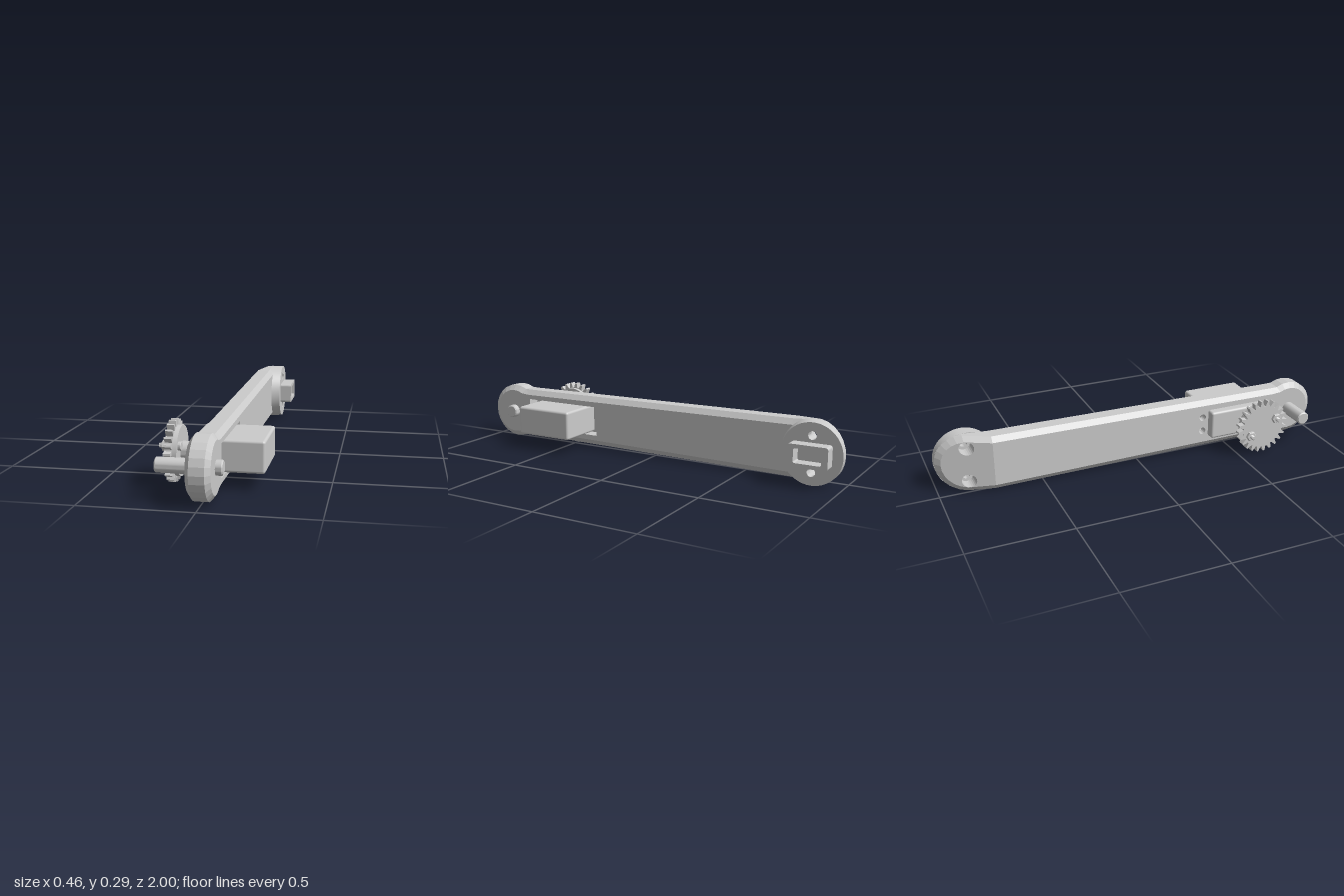
import * as THREE from 'three';
import { RoundedBoxGeometry } from 'three/addons/geometries/RoundedBoxGeometry.js';
import { toCreasedNormals } from 'three/addons/utils/BufferGeometryUtils.js';

const CY = 0.145;      // centre line height
const HEAD_Z = -0.855; // centre of the rear head
const BEND_Z = -0.74;  // where the arm's outer face starts to slope
const solid = new THREE.MeshStandardMaterial({ color: 0xcccccc });
const open = new THREE.MeshStandardMaterial({ color: 0xcccccc, side: THREE.DoubleSide });

const slope = z => Math.max(0, (BEND_Z - z) * 0.36);

// Points are Vector2(z, y)
function circle(z, y, r, n = 24) {
  return Array.from({ length: n }, (_, i) => {
    const a = (i / n) * Math.PI * 2;
    return new THREE.Vector2(z + r * Math.cos(a), y + r * Math.sin(a));
  });
}
const rect = (z0, z1, y0, y1) =>
  [[z0, y0], [z1, y0], [z1, y1], [z0, y1]].map(p => new THREE.Vector2(...p));

// Collects triangles for an open sheet-built part
class Sheets {
  constructor() { this.p = []; }
  tri(a, b, c) { this.p.push(...a, ...b, ...c); }
  // Flat or sloped face across x, with holes
  plate(outer, holes, xAt, sign) {
    const all = [outer, ...holes].flat();
    const v = all.map(q => [xAt(q.x), q.y, q.x]);
    for (const [a, b, c] of THREE.ShapeUtils.triangulateShape(outer, holes)) {
      const A = all[a], B = all[b], C = all[c];
      const area = (B.x - A.x) * (C.y - A.y) - (B.y - A.y) * (C.x - A.x);
      // counter-clockwise in (z, y) faces -x
      if (area * sign < 0) this.tri(v[a], v[b], v[c]);
      else this.tri(v[a], v[c], v[b]);
    }
  }
  // Wall between two rings of equal length; from low x to high x
  wall(r0, x0, r1, x1, inward = false) {
    const n = r0.length;
    for (let i = 0; i < n; i++) {
      const j = (i + 1) % n;
      const a = [x0(r0[i].x), r0[i].y, r0[i].x], b = [x0(r0[j].x), r0[j].y, r0[j].x];
      const c = [x1(r1[j].x), r1[j].y, r1[j].x], d = [x1(r1[i].x), r1[i].y, r1[i].x];
      if (inward) { this.tri(a, b, c); this.tri(a, c, d); }
      else { this.tri(a, c, b); this.tri(a, d, c); }
    }
  }
  mesh(name, crease) {
    let g = new THREE.BufferGeometry();
    g.setAttribute('position', new THREE.Float32BufferAttribute(this.p, 3));
    g.computeVertexNormals();
    if (crease) g = toCreasedNormals(g, crease);
    const m = new THREE.Mesh(g, open);
    m.name = name;
    return m;
  }
}

// Arm silhouette: round front end, tapered bar, round rear head
function armOutline(inset) {
  const pts = [];
  const arc = (z, r, a0, a1, n) => {
    for (let i = 0; i <= n; i++) {
      const a = THREE.MathUtils.degToRad(a0 + ((a1 - a0) * i) / n);
      pts.push(new THREE.Vector2(z + (r - inset) * Math.cos(a), CY + (r - inset) * Math.sin(a)));
    }
  };
  const side = (z, h, s) => pts.push(new THREE.Vector2(z, CY + s * (h - inset)));
  arc(0.86, 0.14, -118, 118, 16);
  side(0.76, 0.123, 1);
  side(BEND_Z, 0.137, 1);
  arc(HEAD_Z, 0.145, 80, 280, 14);
  side(BEND_Z, 0.137, -1);
  side(0.76, 0.123, -1);
  return pts;
}

function createArm() {
  const s = new Sheets();
  const inner = armOutline(0.026), outer = armOutline(0);
  const x1 = z => -0.05 + slope(z), x2 = z => -0.03 + slope(z);
  const x3 = z => Math.max(0.035, x2(z) + 0.005), x4 = () => 0.055;
  // chamfered rim
  s.wall(inner, x1, outer, x2);
  s.wall(outer, x2, outer, x3);
  s.wall(outer, x3, inner, x4);
  // faces, screw holes and motor pocket
  const screws = [];
  for (const z of [0.35, 0.73]) for (const y of [0.108, 0.182]) screws.push(circle(z, y, 0.018, 16));
  const pocket = rect(0.325, 0.755, 0.07, 0.22), floor = () => -0.01;
  const bores = [0.06, 0.23].map(y => circle(HEAD_Z, y, 0.034));
  const last = inner.length - 2;
  s.plate([...inner.slice(0, 19), ...inner.slice(last)], screws, x1, -1);
  s.plate(inner.slice(18, last + 1), bores, x1, -1);
  s.plate(inner, [pocket, ...bores], x4, 1);
  s.plate(pocket, screws, floor, 1);
  s.wall(pocket, floor, pocket, x4, true);
  for (const h of screws) s.wall(h, x1, h, floor, true);
  for (const h of bores) s.wall(h, x1, h, () => 0.06, true);
  return s.mesh('arm');
}

// Round boss on the rear head, flared where it meets the bar
function createHeadDisc() {
  const s = new Sheets();
  const top = circle(HEAD_Z, CY, 0.1453, 48);
  const base = top.map(p => {
    const c = Math.max(0, (p.x - HEAD_Z) / 0.1453);
    return new THREE.Vector2(HEAD_Z + (p.x - HEAD_Z) * (1 + 0.15 * c), CY + (p.y - CY) * (1 + 0.15 * c));
  });
  const face = () => 0.1, seat = () => 0.06;
  s.wall(base, z => Math.max(0.035, slope(z) - 0.027), top, face);
  const holes = [0.06, 0.23].map(y => circle(HEAD_Z, y, 0.02));
  s.plate(top, holes, face, 1);
  holes.forEach((h, i) => {
    s.wall(h, seat, h, face, true);
    s.plate(circle(HEAD_Z, [0.06, 0.23][i], 0.034), [h], seat, -1);
  });
  return s.mesh('headDisc', 0.6);
}

// Turned part along x from [radius, x] pairs
function turned(name, profile, y, z, n = 32) {
  let g = new THREE.LatheGeometry(profile.map(p => new THREE.Vector2(...p)), n);
  g = toCreasedNormals(g, 0.5);
  g.rotateZ(-Math.PI / 2);
  const m = new THREE.Mesh(g, solid);
  m.name = name;
  m.position.set(0, y, z);
  return m;
}
const rod = (name, r, x0, x1, y, z, bevel = 0, n = 32) =>
  turned(name, [[0, x0], [r - bevel, x0], [r, x0 + bevel], [r, x1 - bevel], [r - bevel, x1], [0, x1]], y, z, n);

// Shape drawn in (-z, y), pushed out along +x
function extruded(name, shape, x, depth, y, z) {
  const g = new THREE.ExtrudeGeometry(shape, { depth, bevelEnabled: false, curveSegments: 6 });
  g.rotateY(Math.PI / 2);
  const m = new THREE.Mesh(g, solid);
  m.name = name;
  m.position.set(x, y, z);
  return m;
}

function roundedRect(target, w, h, r) {
  const a = w / 2 - r, b = h / 2 - r;
  target.absarc(a, b, r, 0, Math.PI / 2);
  target.absarc(-a, b, r, Math.PI / 2, Math.PI);
  target.absarc(-a, -b, r, Math.PI, Math.PI * 1.5);
  target.absarc(a, -b, r, Math.PI * 1.5, Math.PI * 2);
  target.closePath();
  return target;
}

function createGear() {
  const pts = [], teeth = 24;
  for (let i = 0; i < teeth; i++) {
    for (const [t, r] of [[0, 0.113], [0.24, 0.113], [0.4, 0.128], [0.5, 0.139], [0.74, 0.139], [0.84, 0.128]]) {
      const a = ((i + t) / teeth) * Math.PI * 2;
      pts.push(new THREE.Vector2(r * Math.cos(a), r * Math.sin(a)));
    }
  }
  return extruded('gear', new THREE.Shape(pts), -0.198, 0.033, 0.146, 0.62);
}

// Threaded screw with head and hex nut
function createBolt(y, z) {
  const g = new THREE.Group();
  g.name = 'gearBolt';
  const thread = [[0, -0.23], [0.008, -0.23]];
  for (let x = -0.227; x < -0.2; x += 0.006) thread.push([0.011, x], [0.008, x + 0.003]);
  thread.push([0.009, -0.14]);
  g.add(turned('boltThread', thread, y, z, 16));
  g.add(rod('hexNut', 0.026, -0.215, -0.197, y, z, 0.003, 6));
  g.add(rod('boltHead', 0.02, -0.147, -0.131, y, z, 0.002, 20));
  return g;
}

export function createModel() {
  const model = new THREE.Group();
  model.name = 'motorArm';
  model.add(createArm(), createHeadDisc());

  // hollow square plug on the rear head
  const plug = roundedRect(new THREE.Shape(), 0.19, 0.105, 0.012);
  plug.holes.push(roundedRect(new THREE.Path(), 0.13, 0.068, 0.008));
  model.add(extruded('plug', plug, 0.098, 0.062, CY, HEAD_Z));

  // motor in the pocket
  const motor = new THREE.Mesh(new RoundedBoxGeometry(0.32, 0.144, 0.306, 3, 0.012), solid);
  motor.name = 'motorBody';
  motor.position.set(0.068, 0.146, 0.535);
  model.add(motor);

  // gear train on the motor shaft
  model.add(rod('motorShaft', 0.042, -0.15, -0.085, 0.146, 0.62, 0.002));
  model.add(rod('gearHub', 0.112, -0.168, -0.145, 0.146, 0.62, 0, 48));
  model.add(createGear(), createBolt(0.183, 0.69), createBolt(0.109, 0.548));

  // pivot pin through the front end
  model.add(rod('pivotPin', 0.033, -0.2, 0.085, 0.146, 0.86, 0.005));
  return model;
}
